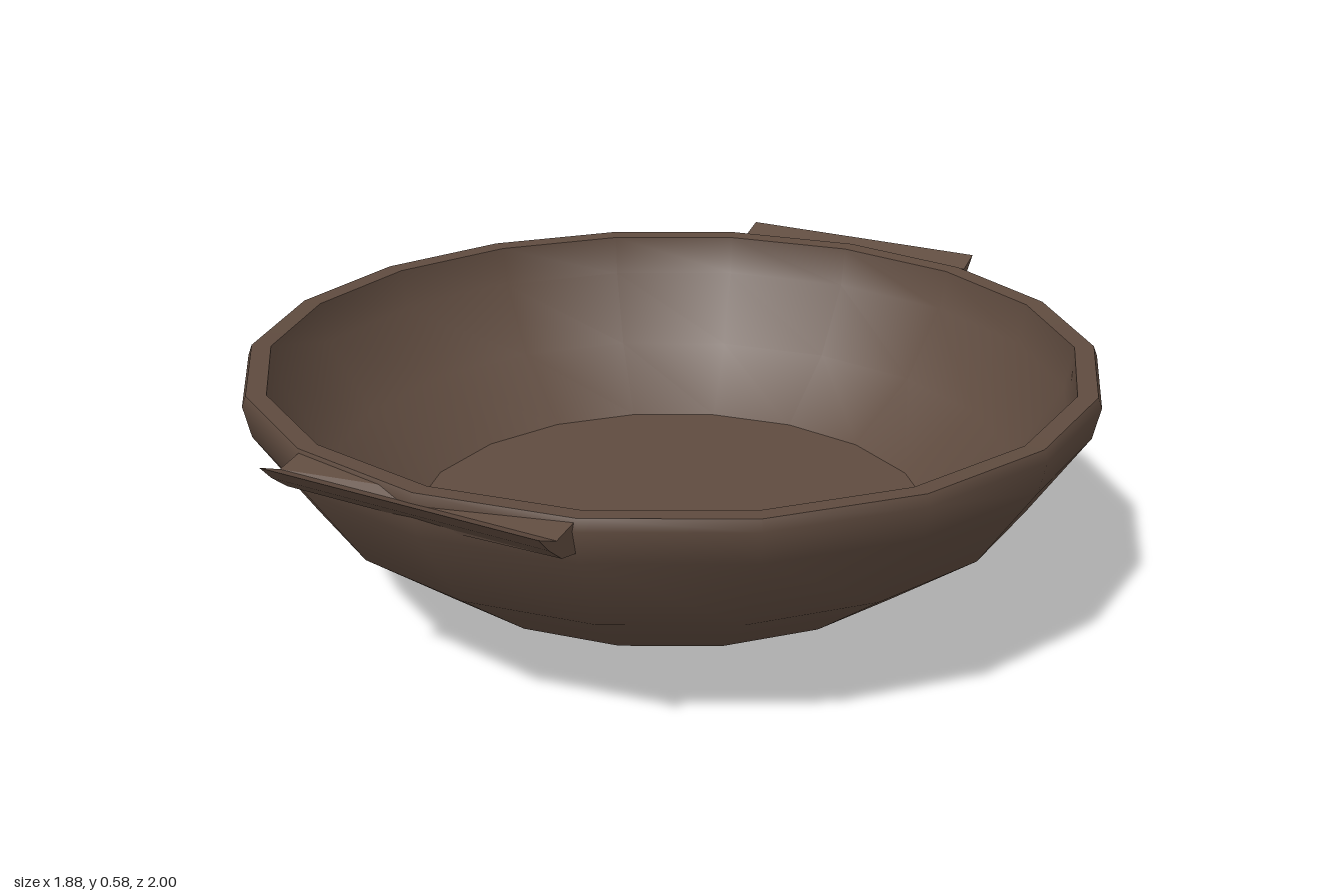
import * as THREE from 'three';

const SIDES = 18;

function lathe(name, profile, material) {
  const points = profile.map(([r, y]) => new THREE.Vector2(r, y));
  const mesh = new THREE.Mesh(new THREE.LatheGeometry(points, SIDES), material);
  mesh.name = name;
  return mesh;
}

// Ledge handle: a troughed section swept along x, its inner edge kept inside the bowl wall
function handleGeometry() {
  const section = [[0.87, 0.575], [0.945, 0.557], [1.0, 0.58], [0.97, 0.548], [0.93, 0.516], [0.87, 0.505]];
  const shape = new THREE.Shape(section.map(([z, y]) => new THREE.Vector2(z, y)));
  const width = 0.635;
  const geometry = new THREE.ExtrudeGeometry(shape, { depth: width, steps: 2, bevelEnabled: false });
  geometry.translate(0, 0, -width / 2);
  geometry.rotateY(-Math.PI / 2);
  const p = geometry.attributes.position;
  for (let i = 0; i < p.count; i++) {
    const wall = 0.925 - 0.17 * Math.abs(p.getX(i));
    p.setZ(i, Math.max(p.getZ(i), wall));
  }
  geometry.computeVertexNormals();
  return geometry;
}

export function createModel() {
  const clay = new THREE.MeshStandardMaterial({ color: 0x5f4b3f });
  clay.name = 'brown clay';

  const bowl = new THREE.Group();
  bowl.name = 'bowl';

  // Rounded outside, rim, inside wall and flat floor
  bowl.add(
    lathe('outerWall', [[0, 0.003], [0.32, 0.04], [0.607, 0.142], [0.812, 0.297], [0.937, 0.485], [0.952, 0.555], [0.943, 0.578]], clay),
    lathe('rim', [[0.943, 0.578], [0.9, 0.575]], clay),
    lathe('innerWall', [[0.9, 0.575], [0.885, 0.48], [0.78, 0.315], [0.6, 0.18]], clay),
    lathe('floor', [[0.6, 0.18], [0, 0.18]], clay)
  );

  // One handle at the front, one at the back
  const geometry = handleGeometry();
  ['frontHandle', 'backHandle'].forEach((name, i) => {
    const handle = new THREE.Mesh(geometry, clay);
    handle.name = name;
    handle.rotation.y = i * Math.PI;
    bowl.add(handle);
  });

  return bowl;
}
